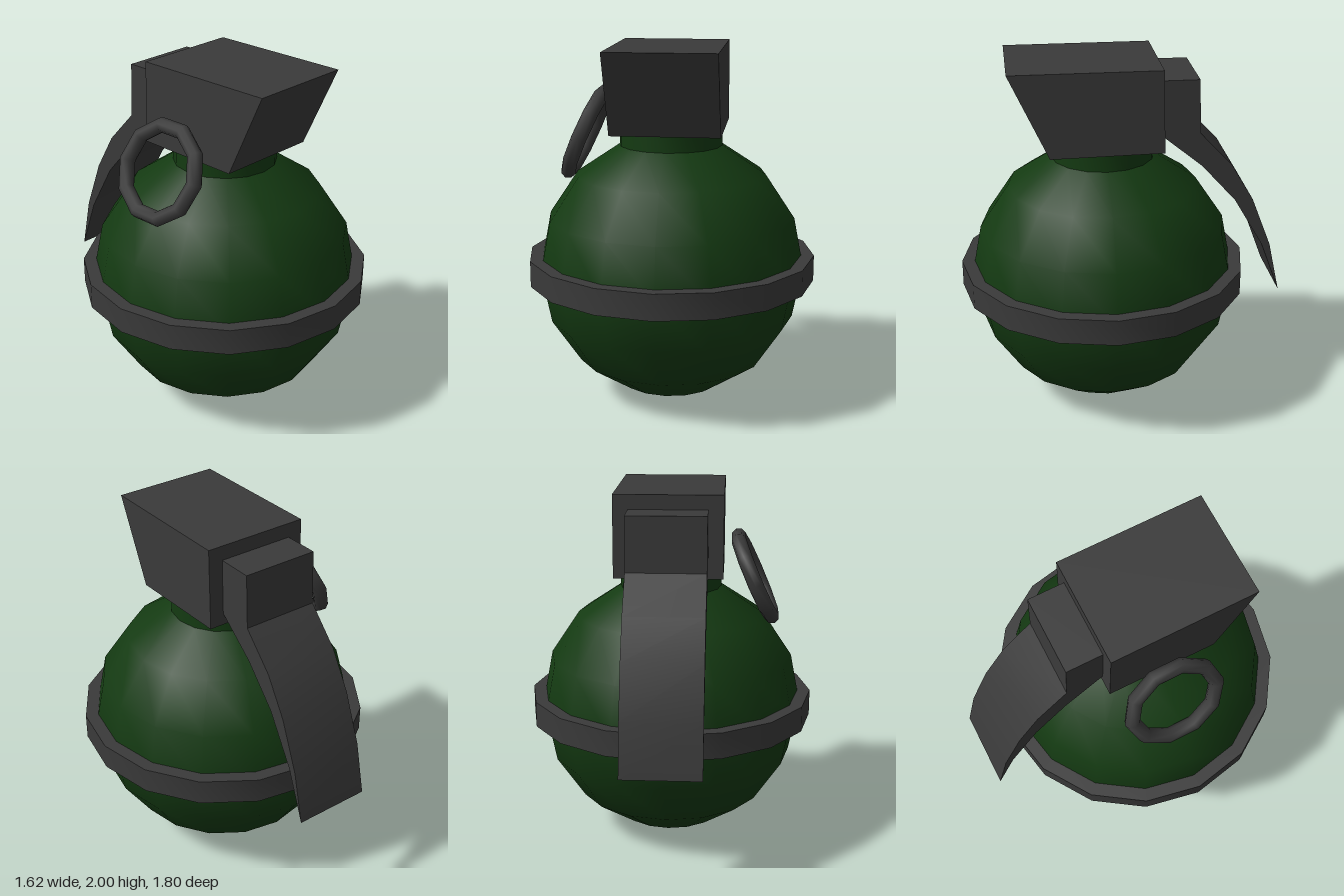
import * as THREE from 'three';
import { toCreasedNormals } from 'three/addons/utils/BufferGeometryUtils.js';

const green = new THREE.MeshStandardMaterial({ color: 0x143a12 });
const dark = new THREE.MeshStandardMaterial({ color: 0x3a3a3a });
const BODY_Z = 0.093;

// Round part from [radius, height] pairs listed bottom to top
function turned(name, profile, material) {
  const points = profile.map(([r, y]) => new THREE.Vector2(r, y));
  const mesh = new THREE.Mesh(toCreasedNormals(new THREE.LatheGeometry(points, 16), 0.6), material);
  mesh.name = name;
  mesh.position.z = BODY_Z;
  return mesh;
}

// Side profile of [z, y] pairs, given a width across x
function sideProfile(name, profile, width) {
  const shape = new THREE.Shape(profile.map(([z, y]) => new THREE.Vector2(z, y)));
  const geometry = new THREE.ExtrudeGeometry(shape, { depth: width, bevelEnabled: false });
  geometry.translate(0, 0, -width / 2).rotateY(-Math.PI / 2);
  const mesh = new THREE.Mesh(toCreasedNormals(geometry, 0.6), dark);
  mesh.name = name;
  return mesh;
}

export function createModel() {
  const model = new THREE.Group();
  model.name = 'grenade';

  // Faceted sphere that runs up into a short neck
  const bodyProfile = [];
  for (let i = 0; i <= 7; i++) {
    const a = (i * Math.PI) / 8;
    bodyProfile.push([0.75 * Math.sin(a), 0.752 - 0.75 * Math.cos(a)]);
  }
  bodyProfile.push([0.287, 1.6]);
  model.add(turned('body', bodyProfile, green));

  // Flat belt around the middle
  model.add(turned('belt', [[0.68, 0.68], [0.808, 0.68], [0.808, 0.825], [0.68, 0.825]], dark));

  // Fuse head with a sloping front
  model.add(sideProfile('fuseHead', [[0.615, 2], [0.4, 1.535], [-0.215, 1.545], [-0.205, 2]], 0.6));

  // Safety lever curving down the back to a thin tip
  model.add(sideProfile('lever', [
    [-0.2, 1.92], [-0.41, 1.92], [-0.42, 1.62], [-0.6, 1.43], [-0.725, 1.22], [-0.835, 0.94],
    [-0.9, 0.65], [-0.79, 0.94], [-0.625, 1.22], [-0.435, 1.43], [-0.22, 1.605], [-0.2, 1.62],
  ], 0.434));

  // Pull ring leaning against the right side of the head
  const ring = new THREE.Mesh(new THREE.TorusGeometry(0.248, 0.042, 8, 10).rotateY(Math.PI / 2), dark);
  ring.name = 'pullRing';
  ring.rotation.z = -0.42;
  ring.position.set(-0.477, 1.505, 0.072);
  model.add(ring);

  return model;
}
